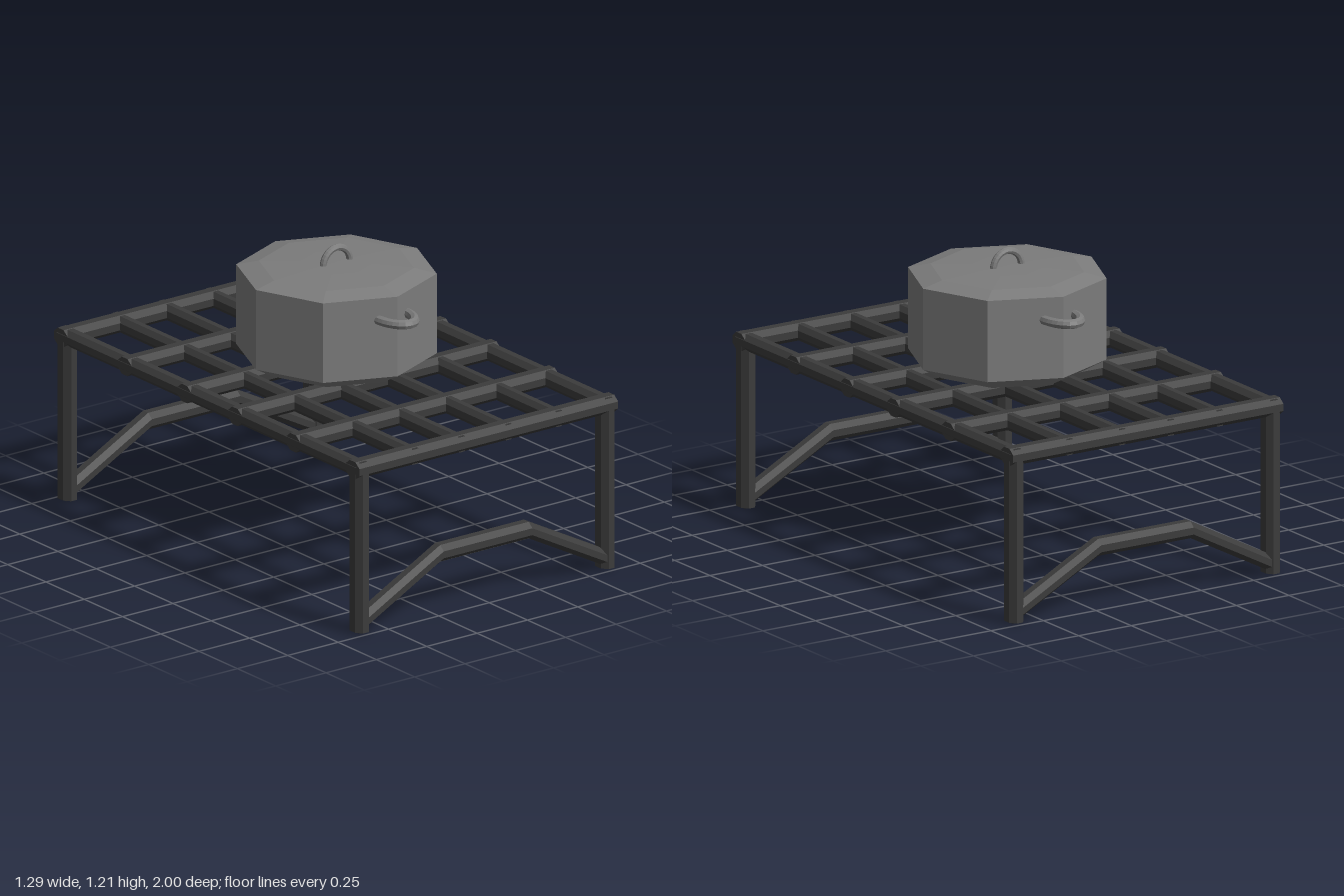
import * as THREE from 'three';

const rackMat = new THREE.MeshStandardMaterial({ color: 0x3c3c3c, flatShading: true });
const potMat = new THREE.MeshStandardMaterial({ color: 0x7c7c7c, flatShading: true });

function add(parent, name, geometry, material, x = 0, y = 0, z = 0) {
  const mesh = new THREE.Mesh(geometry, material);
  mesh.name = name;
  mesh.position.set(x, y, z);
  parent.add(mesh);
  return mesh;
}

// Octagonal rod along y with half-widths a (x) and b (z), flats facing the axes
function rod(length, a, b, segments = 1) {
  const g = new THREE.CylinderGeometry(1, 1, length, 8, segments);
  const k = 1 / Math.cos(Math.PI / 8);
  return g.rotateY(Math.PI / 8).scale(a * k, 1, b * k);
}

// Half-ring handle in the xy plane, arching towards +y
function handle(rx, ry, tube) {
  const points = [];
  for (let i = 0; i <= 12; i++) {
    const t = Math.PI * i / 12;
    points.push(new THREE.Vector3(rx * Math.cos(t), ry * Math.sin(t), 0));
  }
  return new THREE.TubeGeometry(new THREE.CatmullRomCurve3(points), 14, tube, 8);
}

function buildRack() {
  const rack = new THREE.Group();
  rack.name = 'rack';
  const topY = 0.691;

  // Long bars running front to back
  [-0.61, -0.352, -0.12, 0.112, 0.362, 0.61].forEach((x, i) => {
    const outer = i === 0 || i === 5;
    add(rack, 'longBar', rod(1.96, outer ? 0.034 : 0.029, 0.034).rotateX(Math.PI / 2), rackMat, x, topY, 0);
  });

  // Cross bars running side to side
  [-0.953, -0.535, -0.145, 0.185, 0.565, 0.953].forEach((z) => {
    add(rack, 'crossBar', rod(1.285, 0.036, 0.045).rotateZ(Math.PI / 2), rackMat, 0, topY, z);
  });

  for (const z of [-0.953, 0.953]) {
    for (const x of [-0.61, 0.61]) {
      add(rack, 'leg', rod(0.69, 0.034, 0.045), rackMat, x, 0.355, z);
    }
    // Brace: a straight rod sheared down towards both feet
    const g = rod(1.2, 0.035, 0.04, 3).rotateZ(Math.PI / 2);
    const p = g.attributes.position;
    for (let i = 0; i < p.count; i++) {
      const end = Math.abs(p.getX(i)) > 0.4;
      p.setX(i, Math.sign(p.getX(i)) * (end ? 0.625 : 0.22));
      if (end) p.setY(i, p.getY(i) - 0.213);
    }
    g.computeVertexNormals();
    add(rack, 'brace', g, rackMat, 0, 0.25, z);
  }
  return rack;
}

function buildPot() {
  const pot = new THREE.Group();
  pot.name = 'pot';
  pot.position.set(0.01, 0, -0.01);

  // Eight-sided body with a chamfered base
  const v = (x, y) => new THREE.Vector2(x, y);
  add(pot, 'body', new THREE.LatheGeometry([v(0, 0.725), v(0.31, 0.725), v(0.4, 0.775), v(0.4, 1.11)], 8), potMat);
  add(pot, 'lid', new THREE.LatheGeometry([v(0.4, 1.11), v(0.31, 1.13), v(0.14, 1.138), v(0, 1.14)], 8), potMat);

  add(pot, 'lidHandle', handle(0.066, 0.068, 0.014), potMat, 0, 1.133, 0);
  for (const side of [-1, 1]) {
    const g = handle(0.07, 0.12, 0.02).rotateX(side * Math.PI / 2);
    add(pot, 'sideHandle', g, potMat, 0, 1.018, side * 0.36);
  }
  return pot;
}

export function createModel() {
  const model = new THREE.Group();
  model.name = 'potOnGrillRack';
  model.add(buildRack(), buildPot());
  return model;
}
